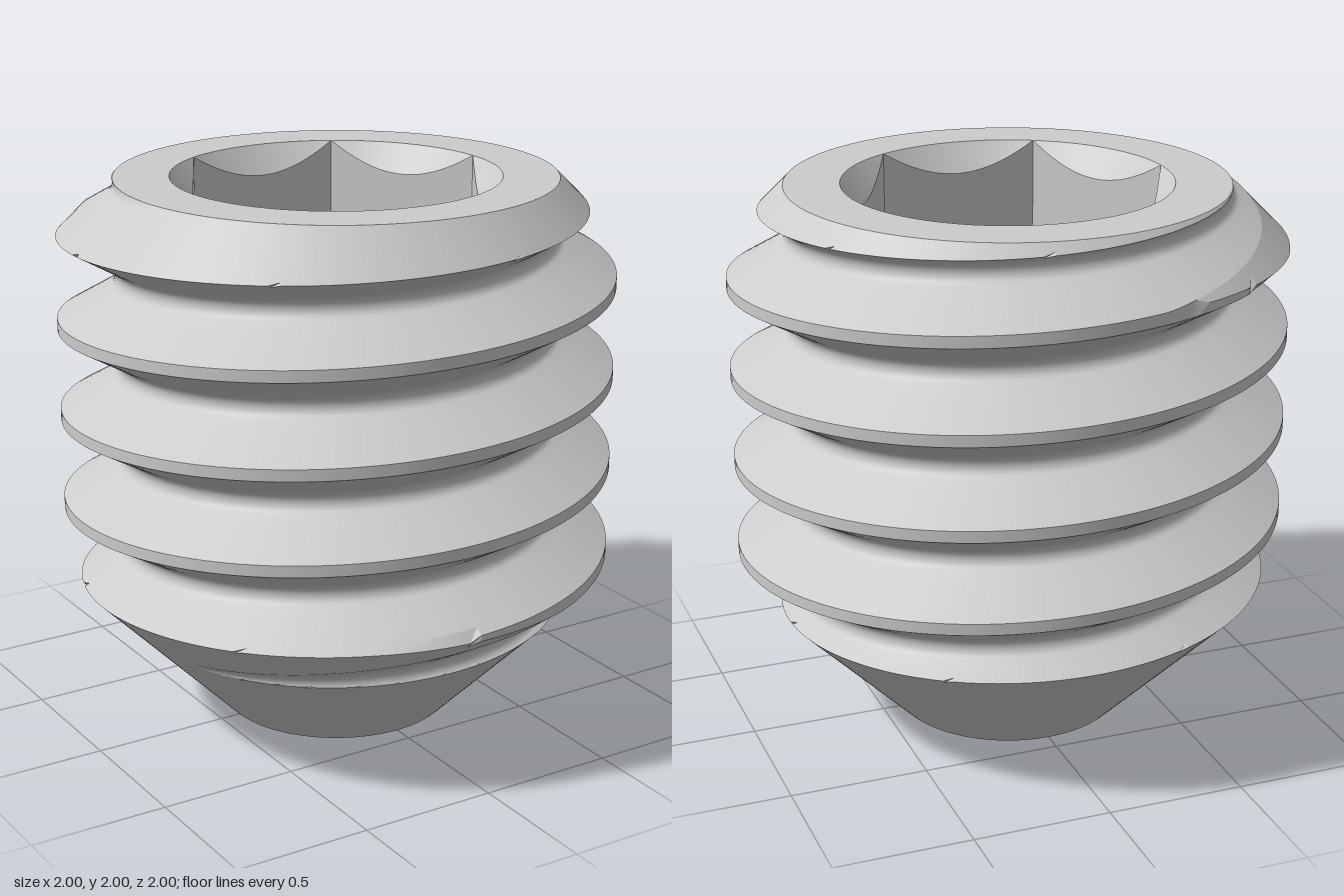
import * as THREE from 'three';
import { toCreasedNormals } from 'three/addons/utils/BufferGeometryUtils.js';

const COLUMNS = 144;                     // divisible by 6, so hex corners land on columns
const HEIGHT = 2, PITCH = 0.335, CREST_Y = 1.005;
const CREST_HALF = 0.021, SLOPE = Math.sqrt(3);   // 60 degree thread
const ROOT_R = 0.79, POINT_R = 0.425;
const RIM_R = 0.59, HEX_APOTHEM = 0.511, CHAMFER = 0.1, SOCKET_Y = 1.0;
const CUP_R = 0.415, CUP_DEPTH = 0.24;

// Rounded root, tangent to both flanks
const V_R = 1 - (PITCH / 2 - CREST_HALF) * SLOPE;
const FILLET = ROOT_R - V_R;
const FILLET_HALF = FILLET * Math.cos(Math.PI / 6);

// Radius of the thread at angle phi and height y
function threadRadius(phi, y) {
  const turn = (y - CREST_Y) / PITCH - phi / (2 * Math.PI);
  const d = Math.abs(turn - Math.round(turn)) * PITCH;
  if (d <= CREST_HALF) return 1;
  const e = PITCH / 2 - d;
  if (e < FILLET_HALF) return V_R + 2 * FILLET - Math.sqrt(FILLET * FILLET - e * e);
  return 1 - (d - CREST_HALF) * SLOPE;
}

// 45 degree chamfers at the point and at the head
const coneRadius = (y) => Math.min(POINT_R + 0.985 * y, ROOT_R + HEIGHT - y);

// Row heights through one pitch, measured from the crest centre
function pitchRows() {
  const rows = [];
  const flankEnd = PITCH / 2 - FILLET_HALF;
  for (let i = 0; i < 6; i++) rows.push(CREST_HALF + (flankEnd - CREST_HALF) * i / 6);
  for (let i = 0; i < 12; i++) {
    const a = (-60 + i * 10) * Math.PI / 180;
    rows.push(PITCH / 2 + FILLET * Math.sin(a));
  }
  rows[6] = flankEnd;
  rows.splice(7, 11);
  for (let i = 1; i < 12; i++) {
    rows.push(PITCH / 2 + FILLET * Math.sin((-60 + i * 10) * Math.PI / 180));
  }
  for (let i = 0; i <= 6; i++) {
    rows.push(PITCH - flankEnd + (flankEnd - CREST_HALF) * i / 6);
  }
  return rows;
}

const ROWS = pitchRows();

// Profile of the threaded shank at one angle, rows following the helix
function shankProfile(phi) {
  const ys = [];
  for (let turn = -5; turn <= 3; turn++) {
    for (const s of ROWS) {
      const y = CREST_Y + PITCH * (turn + phi / (2 * Math.PI)) + s;
      ys.push(THREE.MathUtils.clamp(y, 0, HEIGHT));
    }
  }
  const excess = ys.map((y) => threadRadius(phi, y) - coneRadius(y));
  const points = ys.map((y, i) => [coneRadius(y) + Math.min(excess[i], 0), y]);
  // Move the nearest row onto the line where thread and chamfer meet
  for (let i = 0; i + 1 < ys.length; i++) {
    if (excess[i] * excess[i + 1] >= 0) continue;
    const t = excess[i] / (excess[i] - excess[i + 1]);
    const y = ys[i] + (ys[i + 1] - ys[i]) * t;
    const k = t < 0.5 ? i : i + 1;
    if (ys[k] > 0 && ys[k] < HEIGHT) points[k] = [coneRadius(y), y];
  }
  return points;
}

// Hex socket: conical lead-in, six walls and a flat floor
function socketProfile(phi) {
  const sector = Math.PI / 3;
  const a = ((phi % sector) + sector) % sector - sector / 2;
  const r = Math.min(HEX_APOTHEM / Math.cos(a), RIM_R);
  const y = HEIGHT - CHAMFER * (RIM_R - r) / (RIM_R - HEX_APOTHEM);
  return [[RIM_R, HEIGHT], [r, y], [r, SOCKET_Y], [0, SOCKET_Y]];
}

// Skin a profile that may change with the angle, listed upward on outer faces
function sweep(name, profile, material, crease) {
  const grid = [];
  for (let j = 0; j <= COLUMNS; j++) {
    const phi = 2 * Math.PI * j / COLUMNS;
    grid.push(profile(phi).map(([r, y]) =>
      new THREE.Vector3(r * Math.cos(phi), y, -r * Math.sin(phi))));
  }
  const positions = [];
  const cross = new THREE.Vector3(), u = new THREE.Vector3(), v = new THREE.Vector3();
  const triangle = (a, b, c) => {
    cross.crossVectors(u.subVectors(b, a), v.subVectors(c, a));
    if (cross.length() < 1e-9) return;
    for (const p of [a, b, c]) positions.push(p.x, p.y, p.z);
  };
  for (let j = 0; j < COLUMNS; j++) {
    for (let k = 0; k + 1 < grid[j].length; k++) {
      const a = grid[j][k], b = grid[j + 1][k];
      const c = grid[j + 1][k + 1], d = grid[j][k + 1];
      triangle(a, b, c);
      triangle(a, c, d);
    }
  }
  let geometry = new THREE.BufferGeometry();
  geometry.setAttribute('position', new THREE.Float32BufferAttribute(positions, 3));
  // Enlarged while creasing so that close rows stay distinct
  geometry.scale(100, 100, 100);
  geometry = toCreasedNormals(geometry, crease);
  geometry.scale(0.01, 0.01, 0.01);
  const mesh = new THREE.Mesh(geometry, material);
  mesh.name = name;
  return mesh;
}

export function createModel() {
  const group = new THREE.Group();
  group.name = 'setScrew';
  const metal = new THREE.MeshStandardMaterial({ color: 0xcccccc });
  const cup = [[0, CUP_DEPTH], [CUP_R, 0], [POINT_R, 0]];
  const head = [[ROOT_R, HEIGHT], [RIM_R, HEIGHT]];
  group.add(
    sweep('threadedShank', shankProfile, metal, 0.2),
    sweep('headFace', () => head, metal, 0.2),
    sweep('hexSocket', socketProfile, metal, 0.3),
    sweep('cupPoint', () => cup, metal, 0.3),
  );
  return group;
}
